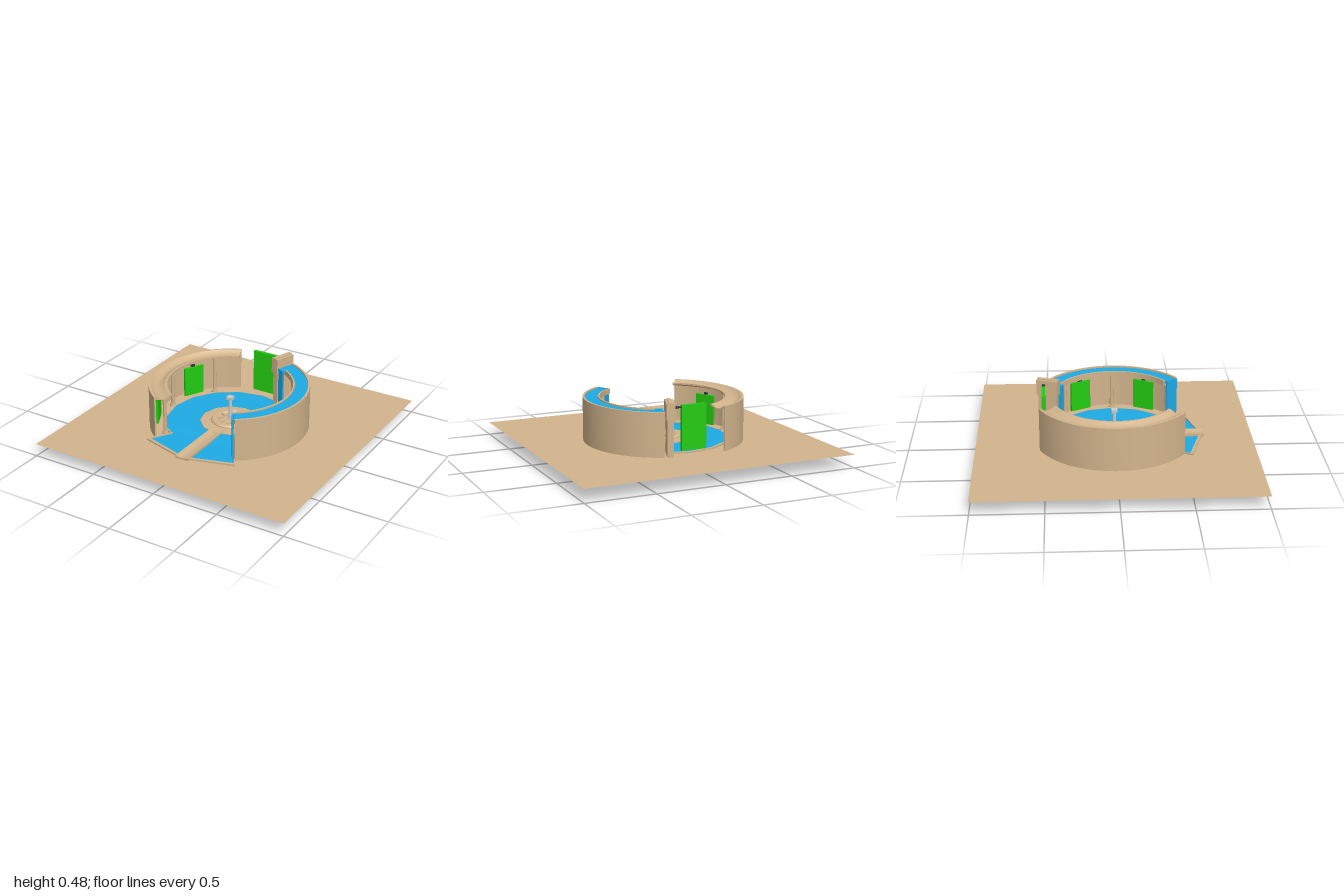
import * as THREE from 'three';
import { toCreasedNormals, mergeVertices } from 'three/addons/utils/BufferGeometryUtils.js';

const mat = (color) => new THREE.MeshStandardMaterial({ color, side: THREE.DoubleSide });
const sand = mat(0xd2b48c), blue = mat(0x1eaae4), green = mat(0x22cc11), grey = mat(0xcccccc), dark = mat(0x333333);
const rad = THREE.MathUtils.degToRad;
const v2 = (pts) => pts.map(([a, b]) => new THREE.Vector2(a, b));

export function createModel() {
  const model = new THREE.Group();

  const add = (name, geo, material, x = 0, y = 0, z = 0, ry = 0) => {
    const m = new THREE.Mesh(geo, material);
    m.name = name;
    m.position.set(x, y, z);
    m.rotation.y = ry;
    model.add(m);
    return m;
  };
  // Box placed at radius r and angle phi (0 = front), sized radially, vertically, tangentially
  const polarBox = (name, material, r, phi, y0, y1, radial, tangential) =>
    add(name, new THREE.BoxGeometry(radial, y1 - y0, tangential), material,
      r * Math.sin(rad(phi)), (y0 + y1) / 2, r * Math.cos(rad(phi)), rad(phi - 90));
  // Closed [radius, height] section swept around the centre, with end caps
  const sweep = (name, section, a0, a1, material, segs = 24) => {
    const lathe = new THREE.LatheGeometry(v2([...section, section[0]]), segs, rad(a0), rad(a1 - a0));
    add(name, toCreasedNormals(lathe, 0.5), material);
    for (const a of [a0, a1])
      add(name + 'End', new THREE.ShapeGeometry(new THREE.Shape(v2(section))), material, 0, 0, 0, rad(a - 90));
  };
  const rect = (r0, r1, y0, y1) => [[r1, y0], [r1, y1], [r0, y1], [r0, y0]];
  const turned = (name, profile, segs, material) =>
    add(name, toCreasedNormals(new THREE.LatheGeometry(v2(profile), segs), 0.4), material);

  // Ground sheet
  const ground = new THREE.PlaneGeometry(2, 2);
  ground.rotateX(-Math.PI / 2);
  add('ground', ground, sand, 0, 0.097, 0);

  // Basin outline: round pool with a flared front
  const outline = (inset) => {
    const pts = [];
    for (let i = 0; i <= 12; i++) {
      const a = rad(45 + i * 22.5), r = 0.488 - inset;
      pts.push([r * Math.sin(a), r * Math.cos(a)]);
    }
    const k = inset;
    return [[0, 0.645 - k], [0.365 - k, 0.54 - k], [0.27 - k * 0.8, 0.375], ...pts,
      [-0.27 + k * 0.8, 0.375], [-0.365 + k, 0.54 - k]];
  };
  const rim = new THREE.Shape(v2(outline(0)));
  rim.holes.push(new THREE.Path(v2(outline(0.018))));
  const rimGeo = new THREE.ExtrudeGeometry(rim, { depth: 0.024, bevelEnabled: false });
  rimGeo.rotateX(Math.PI / 2);
  add('basinRim', rimGeo, sand, 0, 0.109, 0);

  // Water in the basin, stepping down gently towards the front
  const edge = [], loop = outline(0.014), rings = 16, sub = 5;
  loop.forEach((p, i) => {
    const q = loop[(i + 1) % loop.length];
    for (let j = 0; j < sub; j++) edge.push([p[0] + (q[0] - p[0]) * j / sub, p[1] + (q[1] - p[1]) * j / sub]);
  });
  const pos = [], idx = [], n = edge.length;
  for (let k = 0; k <= rings; k++)
    for (const [ex, ez] of edge) {
      const t = 0.15 + 0.85 * k / rings, z = ez * t;
      pos.push(ex * t, 0.107 - 0.007 * THREE.MathUtils.smoothstep(z, 0.26, 0.36), z);
    }
  for (let k = 0; k < rings; k++)
    for (let i = 0; i < n; i++) {
      const a = k * n + i, b = k * n + (i + 1) % n;
      idx.push(a, a + n, b, b, a + n, b + n);
    }
  const water = new THREE.BufferGeometry();
  water.setAttribute('position', new THREE.Float32BufferAttribute(pos, 3));
  water.setIndex(idx);
  const waterGeo = mergeVertices(water);
  waterGeo.computeVertexNormals();
  add('basinWater', waterGeo, blue);

  // Curved outer walls on both sides
  sweep('rightWall', rect(0.575, 0.587, 0.095, 0.415), 203, 325.5, sand);
  sweep('leftWall', rect(0.56, 0.575, 0.095, 0.415), 34, 157, sand);

  // Dry concave gutter on the right wall
  const gutter = [[0.587, 0.4], [0.587, 0.417], [0.57, 0.417]];
  for (let i = 1; i < 8; i++) gutter.push([0.57 - 0.1 * i / 8, 0.415 - 0.022 * Math.sin(Math.PI * i / 8)]);
  gutter.push([0.468, 0.415], [0.452, 0.415], [0.452, 0.403], [0.515, 0.382]);
  sweep('gutter', gutter, 203, 325.5, sand);

  // Water-filled channel on the left wall
  sweep('channelFloor', rect(0.452, 0.57, 0.375, 0.392), 34, 157, sand);
  sweep('channelInnerLip', rect(0.452, 0.464, 0.375, 0.415), 34, 148, sand);
  sweep('channelWater', rect(0.464, 0.565, 0.39, 0.405), 34, 157, blue);
  sweep('channelSpill', rect(0.43, 0.466, 0.39, 0.406), 148.5, 156, blue, 4);

  // Falling water at the channel's two ends
  polarBox('frontWaterfall', blue, 0.52, 33, 0.04, 0.41, 0.095, 0.012);
  polarBox('backWaterfall', blue, 0.436, 152, 0.003, 0.41, 0.012, 0.056);

  // Gate pillar closing the channel
  polarBox('pillar', sand, 0.505, 161, 0.065, 0.37, 0.14, 0.045);
  polarBox('pillarHead', sand, 0.505, 161, 0.36, 0.475, 0.16, 0.06);
  polarBox('pillarRidge', sand, 0.505, 161, 0.47, 0.482, 0.16, 0.028);

  // Gate panel with its hinge pin
  add('gatePanel', new THREE.BoxGeometry(0.188, 0.32, 0.024), green, 0, 0.29, -0.51);
  const pin = new THREE.CylinderGeometry(0.008, 0.008, 0.07, 10);
  pin.rotateZ(Math.PI / 2);
  add('gatePin', pin, dark, 0.122, 0.438, -0.51);
  add('gatePinKnob', new THREE.SphereGeometry(0.013, 12, 8), dark, 0.14, 0.438, -0.51);

  // Panels and posts standing under the gutter and channel
  for (const phi of [63, 117, 243, 297]) {
    polarBox('sidePanel', green, 0.525, phi, 0.105, 0.33, 0.018, 0.16);
    polarBox('sidePanelPin', dark, 0.535, phi, 0.33, 0.345, 0.015, 0.03);
  }
  for (const phi of [37, 90, 135, 225, 270, 323]) {
    const a = rad(phi), x = 0.5 * Math.sin(a), z = 0.5 * Math.cos(a);
    add('post', new THREE.CylinderGeometry(0.011, 0.015, 0.285, 12), sand, x, 0.24, z);
    add('postFoot', new THREE.CylinderGeometry(0.02, 0.024, 0.025, 12), sand, x, 0.11, z);
  }

  // Central platform, raised ring and the bowl beneath
  turned('platform', [[0, 0.09], [0.22, 0.1], [0.22, 0.111], [0.14, 0.116], [0, 0.116]], 12, sand);
  turned('hub', [[0, 0.035], [0.1, 0.035], [0.138, 0.05], [0.14, 0.122], [0.13, 0.132], [0.1, 0.132],
    [0.09, 0.122], [0, 0.122]], 24, sand);
  for (let i = 0; i < 16; i++)
    polarBox('step', sand, 0.076, i * 22.5, 0.115, 0.126 + (i % 2) * 0.006, 0.04, 0.024);

  // Central post with a square cap and a small ball behind it
  add('centrePost', new THREE.CylinderGeometry(0.012, 0.015, 0.17, 12), grey, 0, 0.2, 0);
  add('centreCap', new THREE.BoxGeometry(0.045, 0.022, 0.045), grey, 0, 0.293, 0);
  add('ball', new THREE.SphereGeometry(0.024, 16, 12), grey, 0, 0.142, -0.06);

  // Outlet trough running from the hub to the front
  const section = [];
  for (let i = 0; i <= 12; i++) {
    const a = Math.PI + Math.PI * i / 12;
    section.push([0.05 * Math.cos(a), 0.085 + 0.05 * Math.sin(a)]);
  }
  section.push([0.05, 0.117], [0.04, 0.117], [0.02, 0.11], [0, 0.108], [-0.02, 0.11], [-0.04, 0.117], [-0.05, 0.117]);
  const trough = new THREE.ExtrudeGeometry(new THREE.Shape(v2(section)), { depth: 0.54, bevelEnabled: false });
  add('trough', toCreasedNormals(trough, 0.5), sand, 0, 0, 0.11);

  return model;
}
